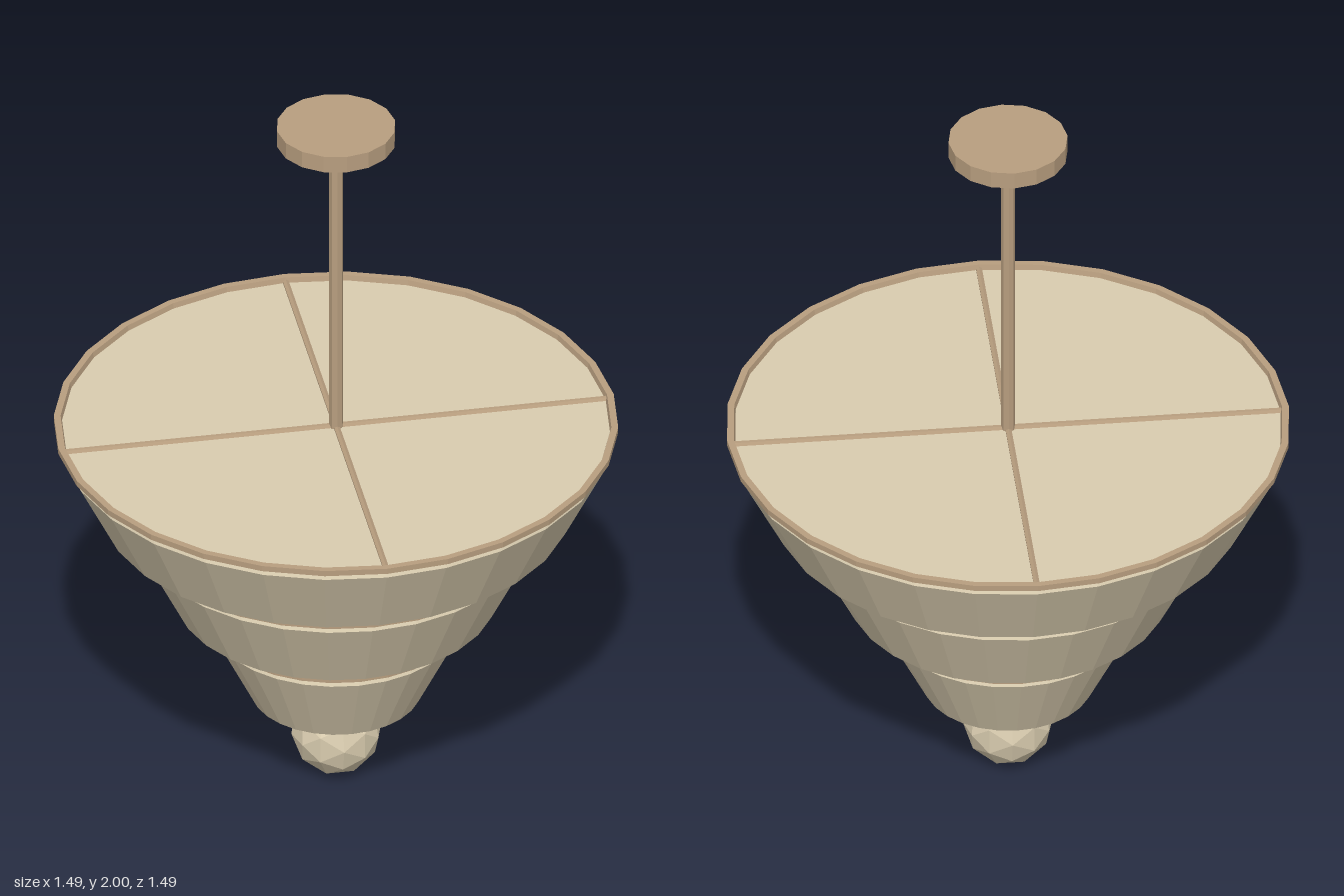
import * as THREE from 'three';

export function createModel() {
  const model = new THREE.Group();
  model.name = 'pendantLamp';

  const glass = new THREE.MeshStandardMaterial({ color: 0xd9ccaf });
  glass.name = 'creamGlass';
  const bronze = new THREE.MeshStandardMaterial({ color: 0xb89e7f });
  bronze.name = 'bronze';
  glass.flatShading = bronze.flatShading = true;

  const SIDES = 28;

  function add(parent, name, geometry, material) {
    const mesh = new THREE.Mesh(geometry, material);
    mesh.name = name;
    parent.add(mesh);
    return mesh;
  }

  // Closed profile turned around the y axis, points given as [radius, y] from bottom to top
  function turned(points) {
    return new THREE.LatheGeometry(points.map(([r, y]) => new THREE.Vector2(r, y)), SIDES);
  }

  // Straight rod between two points
  function rod(parent, name, from, to, radius, sides = 6) {
    const dir = new THREE.Vector3().subVectors(to, from);
    const mesh = add(parent, name, new THREE.CylinderGeometry(radius, radius, dir.length(), sides), bronze);
    mesh.position.addVectors(from, to).multiplyScalar(0.5);
    mesh.quaternion.setFromUnitVectors(new THREE.Vector3(0, 1, 0), dir.normalize());
    return mesh;
  }

  const polar = (r, a, y) => new THREE.Vector3(r * Math.cos(a), y, r * Math.sin(a));

  // Three stacked shades, each with a bevelled lip and a metal rim
  const tiers = [
    { name: 'upper', bottom: 0.83, top: 1.08, rBottom: 0.625, rTop: 0.745 },
    { name: 'middle', bottom: 0.54, top: 0.79, rBottom: 0.425, rTop: 0.545 },
    { name: 'lower', bottom: 0.245, top: 0.497, rBottom: 0.225, rTop: 0.345 },
  ];
  for (const { name, bottom, top, rBottom, rTop } of tiers) {
    const tier = new THREE.Group();
    tier.name = name + 'Tier';
    model.add(tier);
    add(tier, name + 'Shade', turned([
      [0, bottom], [rBottom, bottom], [rTop - 0.012, top - 0.035],
      [rTop - 0.022, top - 0.014], [0, top - 0.014],
    ]), glass);
    add(tier, name + 'Rim', turned([
      [rTop - 0.022, top - 0.016], [rTop, top - 0.016], [rTop, top],
      [rTop - 0.018, top], [rTop - 0.022, top - 0.016],
    ]), bronze);
  }

  // Crossed spokes on the upper shade
  for (let i = 0; i < 4; i++) {
    const a = i * Math.PI / 2;
    rod(model, 'spoke', polar(0, a, 1.066), polar(0.73, a, 1.066), 0.009);
  }

  // Slanted hangers joining each shade to the one above
  for (let i = 0; i < 4; i++) {
    const a = i * Math.PI / 2;
    rod(model, 'middleHanger', polar(0.535, a + 0.3, 0.782), polar(0.4, a + 0.3, 0.838), 0.008);
    rod(model, 'lowerHanger', polar(0.335, a, 0.488), polar(0.29, a, 0.548), 0.008);
  }

  // Stem and ceiling plate
  rod(model, 'stem', new THREE.Vector3(0, 1.06, 0), new THREE.Vector3(0, 1.96, 0), 0.019, 8);
  add(model, 'ceilingPlate', new THREE.CylinderGeometry(0.158, 0.158, 0.048, 16), bronze).position.y = 1.976;

  // Faceted ball finial
  add(model, 'finial', new THREE.IcosahedronGeometry(0.12, 1), glass).position.y = 0.122;

  return model;
}
